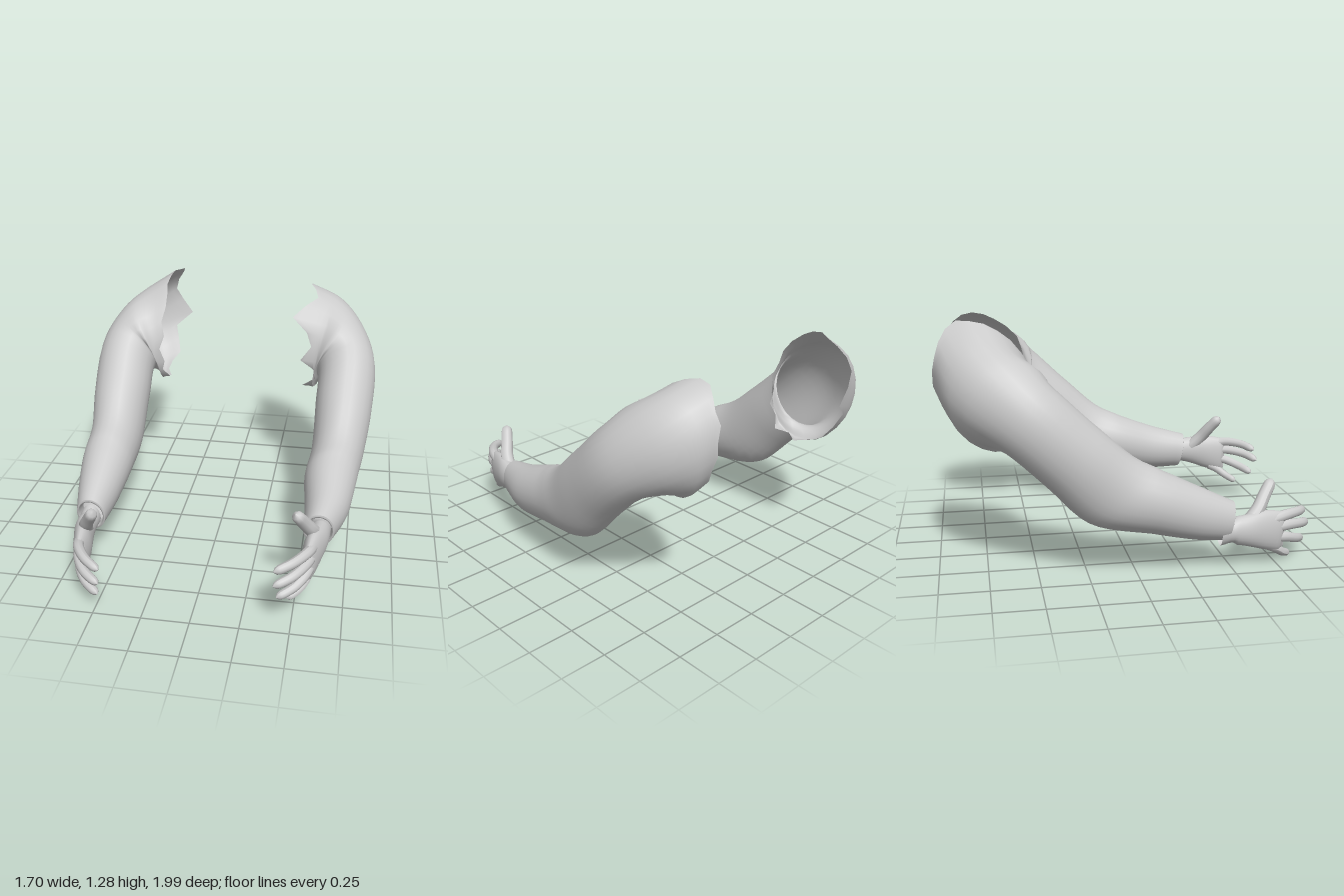
import * as THREE from 'three';

const SEG = 24;
const material = new THREE.MeshStandardMaterial({ color: 0xcccccc, side: THREE.DoubleSide });

// Loft through elliptical rings [cx,cy,cz, ux,uy,uz, vx,vy,vz], smoothed along the length.
// tears: optional x offsets that make the last rim ragged.
function loft(rings, steps, tears) {
  const spline = k => new THREE.CatmullRomCurve3(rings.map(r => new THREE.Vector3(...r.slice(k, k + 3))));
  const [c, u, v] = [spline(0), spline(3), spline(6)];
  const rows = (rings.length - 1) * steps;
  const pos = [], index = [];
  for (let j = 0; j <= rows; j++) {
    const t = j / rows;
    const [pc, pu, pv] = [c.getPoint(t), u.getPoint(t), v.getPoint(t)];
    const w = Math.max(0, 1 - (rows - j) / steps);
    for (let i = 0; i < SEG; i++) {
      const a = i / SEG * Math.PI * 2;
      const d = tears ? tears[i] * w : 0;
      const flare = 1 - d * 0.7;
      const p = pc.clone().addScaledVector(pu, Math.cos(a) * flare).addScaledVector(pv, Math.sin(a) * flare);
      pos.push(p.x + d, p.y, p.z);
      if (j < rows) {
        const A = j * SEG + i, B = j * SEG + (i + 1) % SEG;
        index.push(A, A + SEG, B, B, A + SEG, B + SEG);
      }
    }
  }
  const g = new THREE.BufferGeometry();
  g.setAttribute('position', new THREE.Float32BufferAttribute(pos, 3));
  g.setIndex(index);
  g.computeVertexNormals();
  return g;
}

// Tapered, round-tipped finger along a curve
function finger(points, r) {
  const curve = new THREE.CatmullRomCurve3(points.map(p => new THREE.Vector3(...p)));
  const rows = 20, sides = 10;
  const g = new THREE.TubeGeometry(curve, rows, 1, sides);
  const p = g.attributes.position, q = new THREE.Vector3();
  for (let j = 0; j <= rows; j++) {
    const t = j / rows, c = curve.getPointAt(t);
    const tip = Math.max(0, (t - 0.85) / 0.15);
    const radius = r * (1 - 0.22 * t) * Math.sqrt(Math.max(0.0004, 1 - tip * tip));
    for (let i = 0; i <= sides; i++) {
      const k = j * (sides + 1) + i;
      q.fromBufferAttribute(p, k).sub(c).multiplyScalar(radius).add(c);
      p.setXYZ(k, q.x, q.y, q.z);
    }
  }
  g.computeVertexNormals();
  return g;
}

// Mirror a geometry for the right arm and keep its faces outward
function mirror(g) {
  g.scale(-1, 1, 1);
  const ix = g.index;
  for (let i = 0; i < ix.count; i += 3) {
    const b = ix.getX(i + 1);
    ix.setX(i + 1, ix.getX(i + 2));
    ix.setX(i + 2, b);
  }
  g.computeVertexNormals();
  return g;
}

// Elbow to shoulder, shared by both arms
const upperRings = [
  [0.66, 0.445, -0.12, 0.15, 0, 0, 0, 0.15, 0.14],
  [0.675, 0.63, -0.325, 0.165, 0, 0, 0, 0.142, 0.132],
  [0.67, 0.825, -0.535, 0.165, 0.035, -0.035, 0, 0.16, 0.115],
  [0.605, 0.885, -0.63, 0.122, 0.145, -0.128, 0, 0.165, 0.16],
  [0.537, 0.907, -0.69, 0.063, 0.225, -0.163, 0, 0.163, 0.175],
];

const arms = {
  left: {
    forearm: [
      [0.60, 0.31, 0.53, 0.082, 0, 0, 0, 0.105, 0.02],
      [0.628, 0.33, 0.34, 0.118, 0, 0, 0, 0.135, 0.02],
      [0.635, 0.387, 0.10, 0.146, 0, 0, 0, 0.157, 0.04],
    ],
    rim: [0.46, 0.935, -0.715, 0, 0.255, -0.175, 0, 0.16, 0.175],
    tears: [0, -0.03, -0.03, 0, 0.02, -0.05, -0.12, -0.03, 0, -0.06, 0.03, 0.03,
      -0.05, 0.02, 0.04, 0, 0.03, 0.02, 0.01, 0.03, 0.02, 0.03, 0.01, 0.02],
    handOffset: [0, 0, 0],
  },
  right: {
    forearm: [
      [0.65, 0.255, 0.485, 0.08, 0, 0, 0, 0.103, 0.02],
      [0.655, 0.303, 0.32, 0.114, 0, 0, 0, 0.135, 0.02],
      [0.66, 0.377, 0.10, 0.144, 0, 0, 0, 0.157, 0.04],
    ],
    rim: [0.44, 0.955, -0.73, 0, 0.28, -0.185, 0, 0.165, 0.18],
    tears: [-0.04, -0.06, -0.01, 0, 0.01, 0, 0, 0.02, 0, 0.03, 0, 0.02,
      -0.02, 0.03, 0, 0.03, 0.02, -0.02, 0, 0.02, -0.08, -0.02, 0.02, 0],
    handOffset: [0.06, -0.105, -0.02],
  },
};

// Knuckles to wrist
const palmRings = [
  [0.555, 0.268, 0.82, 0.002, 0, 0, 0, 0.08, 0.005],
  [0.565, 0.275, 0.79, 0.034, 0, 0, 0, 0.108, 0.01],
  [0.58, 0.293, 0.70, 0.05, 0, 0, 0, 0.108, 0],
  [0.60, 0.303, 0.61, 0.054, 0, 0, 0, 0.088, 0],
  [0.608, 0.308, 0.54, 0.053, 0, 0, 0, 0.076, 0],
  [0.608, 0.31, 0.45, 0.054, 0, 0, 0, 0.076, 0],
];

// Digits: path from the palm to the tip, and radius
const digits = {
  thumb: [[[0.59, 0.33, 0.60], [0.565, 0.40, 0.665], [0.53, 0.465, 0.71], [0.49, 0.54, 0.765]], 0.04],
  indexFinger: [[[0.58, 0.345, 0.74], [0.56, 0.36, 0.82], [0.50, 0.355, 0.91], [0.41, 0.335, 0.975]], 0.03],
  middleFinger: [[[0.58, 0.30, 0.74], [0.56, 0.305, 0.83], [0.50, 0.29, 0.93], [0.41, 0.265, 0.995]], 0.03],
  ringFinger: [[[0.575, 0.25, 0.74], [0.56, 0.24, 0.82], [0.51, 0.21, 0.90], [0.425, 0.18, 0.965]], 0.029],
  littleFinger: [[[0.57, 0.205, 0.72], [0.56, 0.18, 0.77], [0.53, 0.145, 0.82], [0.47, 0.115, 0.875]], 0.026],
};

function buildArm(side) {
  const spec = arms[side];
  const arm = new THREE.Group();
  arm.name = side + 'Arm';
  const add = (parent, name, g) => {
    const mesh = new THREE.Mesh(side === 'right' ? mirror(g) : g, material);
    mesh.name = name;
    parent.add(mesh);
  };

  // Sleeve with a torn open shoulder
  add(arm, 'sleeve', loft([...spec.forearm, ...upperRings, spec.rim], 5, spec.tears));

  // Lip folded back into the cuff
  const cuff = spec.forearm[0];
  const lip = (k, dz) => cuff.map((n, i) => i > 2 ? n * k : i === 2 ? n + dz : n);
  add(arm, 'cuffLining', loft([lip(1, 0), lip(0.86, 0.004), lip(0.8, -0.07)], 2));

  // Hand
  const hand = new THREE.Group();
  hand.name = side + 'Hand';
  add(hand, 'palm', loft(palmRings, 4).translate(...spec.handOffset));
  for (const [name, [path, r]] of Object.entries(digits)) {
    add(hand, name, finger(path, r).translate(...spec.handOffset));
  }
  arm.add(hand);
  return arm;
}

export function createModel() {
  const model = new THREE.Group();
  model.name = 'arms';
  model.add(buildArm('left'), buildArm('right'));
  return model;
}
